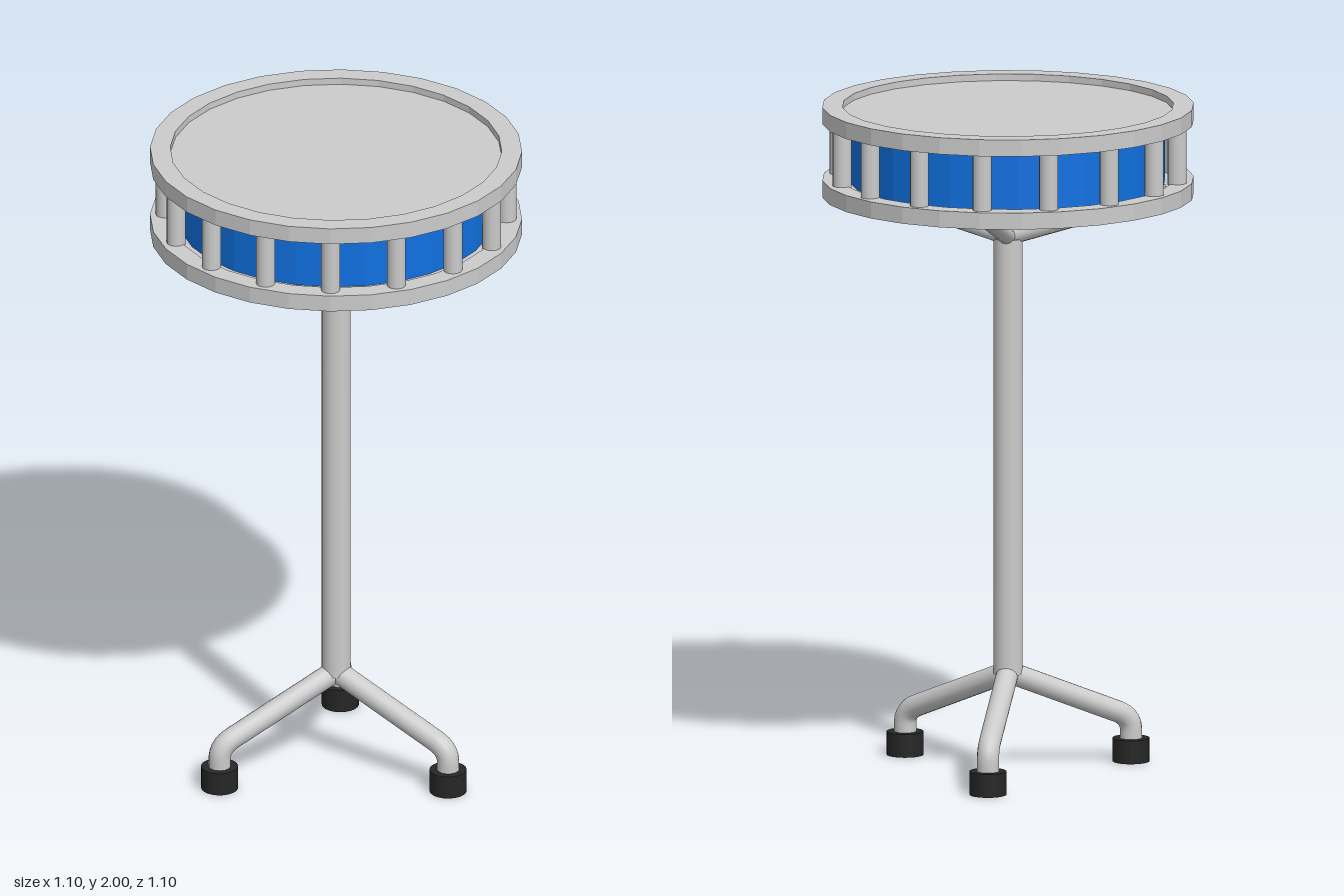
import * as THREE from 'three';

const SIDES = 28;
const V = (x, y, z = 0) => new THREE.Vector3(x, y, z);

export function createModel() {
  const model = new THREE.Group();
  model.name = 'drumOnStand';

  const metal = new THREE.MeshStandardMaterial({ color: 0xcccccc });
  const facetedMetal = new THREE.MeshStandardMaterial({ color: 0xcccccc, flatShading: true });
  const blue = new THREE.MeshStandardMaterial({ color: 0x1070e0, flatShading: true });
  const rubber = new THREE.MeshStandardMaterial({ color: 0x262626 });

  const add = (name, geometry, material, parent = model) => {
    const mesh = new THREE.Mesh(geometry, material);
    mesh.name = name;
    parent.add(mesh);
    return mesh;
  };
  // Upright cylinder between two heights
  const column = (name, r, y0, y1, sides, material, parent) => {
    const mesh = add(name, new THREE.CylinderGeometry(r, r, y1 - y0, sides), material, parent);
    mesh.position.y = (y0 + y1) / 2;
    return mesh;
  };
  // Rectangular ring turned around the y axis
  const hoop = (name, y0, y1) => {
    const section = [[0.49, y0], [0.55, y0], [0.55, y1], [0.49, y1], [0.49, y0]];
    const profile = section.map(([r, y]) => new THREE.Vector2(r, y));
    add(name, new THREE.LatheGeometry(profile, SIDES), facetedMetal);
  };

  // Drum: shell, two hoops, two recessed skins
  column('shell', 0.465, 1.755, 1.975, SIDES, blue);
  hoop('topHoop', 1.95, 2);
  hoop('bottomHoop', 1.73, 1.78);
  column('topSkin', 0.49, 1.96, 1.98, SIDES, facetedMetal);
  column('bottomSkin', 0.49, 1.75, 1.77, SIDES, facetedMetal);

  // Tension rods around the shell
  for (let i = 0; i < 16; i++) {
    const a = (i / 16) * Math.PI * 2;
    const rod = column('tensionRod', 0.028, 1.775, 1.955, 12, metal);
    rod.position.x = Math.sin(a) * 0.505;
    rod.position.z = Math.cos(a) * 0.505;
  }

  // Centre pole
  column('pole', 0.043, 0.29, 1.6, 20, metal);

  // Four struts spreading from the pole to the drum
  for (let i = 0; i < 4; i++) {
    const path = new THREE.LineCurve3(V(0, 1.603), V(0.48, 1.752));
    const strut = add('strut', new THREE.TubeGeometry(path, 1, 0.025, 12), metal);
    strut.rotation.y = (i * Math.PI) / 2;
  }
  add('strutJoint', new THREE.SphereGeometry(0.028, 14, 10), metal).position.y = 1.605;

  // Three bent legs with rubber feet; one points straight back
  for (let i = 0; i < 3; i++) {
    const leg = new THREE.Group();
    leg.name = 'leg';
    leg.rotation.y = Math.PI / 2 + (i * Math.PI * 2) / 3;
    const path = new THREE.CurvePath();
    path.add(new THREE.LineCurve3(V(0, 0.295), V(0.345, 0.153)));
    path.add(new THREE.QuadraticBezierCurve3(V(0.345, 0.153), V(0.39, 0.135), V(0.39, 0.095)));
    path.add(new THREE.LineCurve3(V(0.39, 0.095), V(0.39, 0.05)));
    add('legTube', new THREE.TubeGeometry(path, 40, 0.033, 14), metal, leg);
    column('foot', 0.055, 0, 0.07, 20, rubber, leg).position.x = 0.39;
    model.add(leg);
  }
  add('legJoint', new THREE.SphereGeometry(0.034, 14, 10), metal).position.y = 0.292;

  return model;
}
